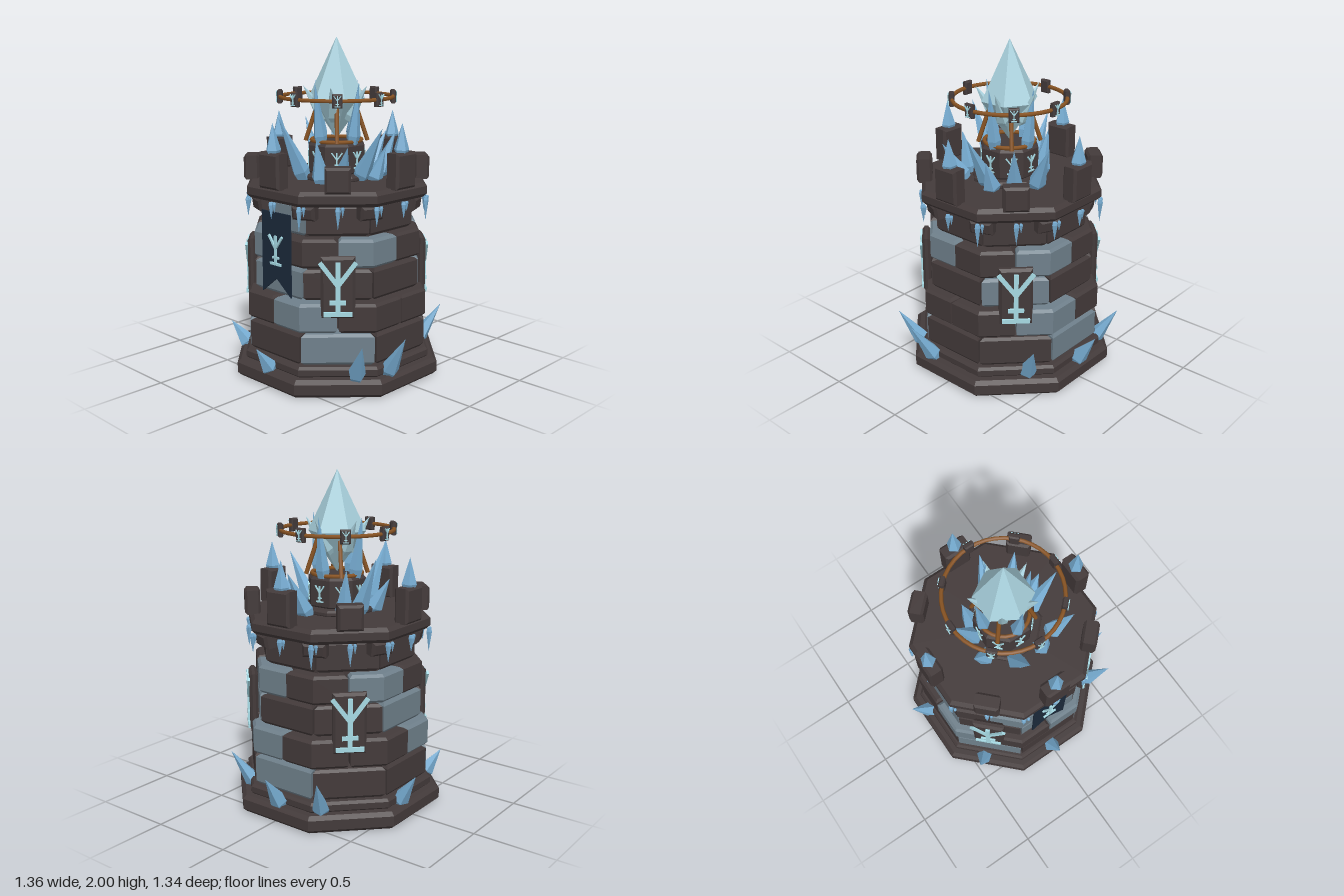
import * as THREE from 'three';

const PI = Math.PI, C8 = Math.cos(PI / 8);
const paint = (name, color) => {
  const m = new THREE.MeshStandardMaterial({ color });
  m.name = name;
  return m;
};

export function createModel() {
  const stone = paint('dark stone', 0x433a3a), slate = paint('grey stone', 0x6f808b);
  const ice = paint('ice', 0x78aed4), crystal = paint('pale crystal', 0xa8d0dc);
  const glow = paint('rune', 0xa6dae4), copper = paint('copper', 0x8a5524);
  const cloth = paint('banner cloth', 0x1b293a);
  cloth.side = THREE.DoubleSide;

  const tower = new THREE.Group();
  tower.name = 'tower';
  const add = (name, geo, mat, parent = tower) => {
    const m = new THREE.Mesh(geo, mat);
    m.name = name;
    parent.add(m);
    return m;
  };
  const flat = (g) => {
    const f = g.toNonIndexed();
    f.computeVertexNormals();
    return f;
  };
  // polygonal solid from [radius, y] points
  const turned = (pts, sides, start = 0) =>
    flat(new THREE.LatheGeometry(pts.map(p => new THREE.Vector2(...p)), sides, start));
  // bevelled octagonal slab, a = distance from axis to flat side
  const slab = (name, a, y0, y1, b) => add(name, turned(
    [[0, y0], [a - b, y0], [a, y0 + b], [a, y1 - b], [a - b, y1], [0, y1]]
      .map(([r, y]) => [r / C8, y]), 8, PI / 8), stone);
  // group turned to face angle a, at distance r
  const facing = (name, a, r, y) => {
    const g = new THREE.Group();
    g.name = name;
    g.position.set(Math.sin(a) * r, y, Math.cos(a) * r);
    g.rotation.y = a;
    tower.add(g);
    return g;
  };
  // box with bevelled edges, centred
  const block = (w, h, d, b = 0.016) => {
    const s = new THREE.Shape();
    const x = w / 2 - b, y = h / 2 - b;
    s.moveTo(-x, -y).lineTo(x, -y).lineTo(x, y).lineTo(-x, y);
    return new THREE.ExtrudeGeometry(s, { depth: d - 2 * b, bevelEnabled: true,
      bevelThickness: b, bevelSize: b, bevelSegments: 1 }).translate(0, 0, b - d / 2);
  };
  // pointed shard between two points
  const UP = new THREE.Vector3(0, 1, 0);
  const shard = (name, from, to, r, mat = ice, sides = 5) => {
    const a = new THREE.Vector3(...from), d = new THREE.Vector3(...to).sub(a);
    const h = d.length();
    const m = add(name, turned([[0, 0], [r * 0.75, 0.01 * h], [r, 0.16 * h], [0, h]], sides), mat);
    m.position.copy(a);
    m.quaternion.setFromUnitVectors(UP, d.normalize());
  };
  // forked rune, about 0.3 high, facing +z
  const rune = (parent, z, k = 1) => {
    const g = new THREE.Group();
    g.name = 'rune';
    g.position.z = z;
    g.scale.set(k, k, 1);
    parent.add(g);
    const bar = (x, y, w, h, tilt = 0) => {
      const m = add('runeStroke', new THREE.BoxGeometry(w, h, 0.014), glow, g);
      m.position.set(x, y, 0);
      m.rotation.z = tilt;
    };
    bar(0, 0, 0.025, 0.28);
    bar(0, -0.138, 0.15, 0.024);
    bar(0, -0.075, 0.085, 0.022);
    for (const s of [-1, 1]) bar(s * 0.045, 0.075, 0.023, 0.16, -s * 0.64);
  };

  // base and core
  slab('basePlinth', 0.598, 0, 0.105, 0.022);
  slab('baseStep', 0.545, 0.1, 0.165, 0.015);
  slab('wallCore', 0.405, 0.15, 1.09, 0.01);

  // brick courses: alternate courses wrap the corners; G = grey, D = dark
  const courses = [
    [0.52, 0.17, 0.352, 'DGDDGDDG'], [0.525, 0.36, 0.532, 'GDDGDDGD'],
    [0.482, 0.542, 0.72, 'GDDGDDGD'], [0.484, 0.728, 0.895, 'DGDGDGDG'],
    [0.44, 0.905, 1.08, 'GDDDDDDD']];
  courses.forEach(([ap, y0, y1, colours], row) => {
    const wrap = row % 2, b = 0.016;
    const at = (r, a) => {
      const local = a - Math.round(a / (PI / 4)) * PI / 4;
      const R = r / Math.cos(local);
      return new THREE.Vector2(Math.sin(a) * R, -Math.cos(a) * R);
    };
    for (let i = 0; i < 8; i++) {
      const mid = (i + wrap / 2) * PI / 4, half = PI / 8 - 0.01;
      const angles = wrap ? [mid - half, mid, mid + half] : [mid - half, mid + half];
      const plan = new THREE.Shape([...angles.map(a => at(ap, a)),
        ...angles.reverse().map(a => at(ap - 0.12, a))]);
      const g = new THREE.ExtrudeGeometry(plan, { depth: y1 - y0 - 2 * b, bevelEnabled: true,
        bevelThickness: b, bevelSize: b, bevelOffset: -b, bevelSegments: 1 });
      g.rotateX(-PI / 2).translate(0, y0 + b, 0);
      add('wallBrick', g, colours[i] === 'G' ? slate : stone);
    }
  });

  // corbels, parapet floor and icicles
  for (let i = 0; i < 8; i++) {
    const c = facing('corbel', (i + 0.5) * PI / 4, 0.455, 1.05);
    add('corbelBlock', block(0.14, 0.085, 0.12), stone, c).rotation.x = 0.15;
  }
  slab('parapetFloor', 0.523, 1.085, 1.172, 0.022);
  for (let i = 0; i < 16; i++) {
    const a = i * PI / 8, r = i % 2 ? 0.56 : 0.53;
    const len = 0.1 + 0.03 * ((i * 7) % 4) / 2;
    const hang = (angle, drop, w) => {
      const x = Math.sin(angle) * r, z = Math.cos(angle) * r;
      shard('icicle', [x, 1.09, z], [x, 1.09 - drop, z], w);
    };
    hang(a, len, 0.017);
    hang(a + 0.05, 0.06, 0.011);
  }

  // merlons, the four tall ones tipped with ice
  for (let i = 0; i < 8; i++) {
    const tall = i % 2 === 0, h = tall ? 0.205 : 0.145;
    const m = facing('merlon', i * PI / 4, 0.506, 1.165 + h / 2);
    add('merlonBlock', block(tall ? 0.165 : 0.145, h, 0.092, 0.014), stone, m);
    if (tall) {
      const x = m.position.x, z = m.position.z;
      shard('merlonIce', [x, 1.355, z], [x * 1.01, 1.535, z * 1.01], 0.045);
    }
  }

  // rune plaques on the diagonals
  for (let i = 0; i < 4; i++) {
    const p = facing('runePlaque', PI / 4 + i * PI / 2, 0.512, 0.63);
    add('plaqueStone', block(0.195, 0.36, 0.05), stone, p);
    rune(p, 0.031, 1.08);
  }

  // swallow-tailed banner
  const banner = facing('banner', 0, 0.488, 0);
  const tail = new THREE.Shape();
  tail.moveTo(-0.12, 1.025).lineTo(-0.12, 0.54).lineTo(0, 0.635).lineTo(0.12, 0.54).lineTo(0.12, 1.025);
  add('bannerCloth', new THREE.ExtrudeGeometry(tail, { depth: 0.008, bevelEnabled: false }), cloth, banner);
  const emblem = new THREE.Group();
  emblem.name = 'bannerEmblem';
  emblem.position.y = 0.805;
  banner.add(emblem);
  rune(emblem, 0.012, 0.6);

  // ice growing from the base: tip x, y, z
  [[0, 0.25, 0.66], [-0.49, 0.25, 0.44], [0.585, 0.34, 0.4], [0.7, 0.36, 0.17],
    [0.4, 0.33, -0.53], [0, 0.3, -0.675], [-0.32, 0.33, -0.61], [-0.66, 0.3, -0.125]]
    .forEach(([x, y, z]) => {
      const r = Math.hypot(x, z), k = (r - 0.55 * (y - 0.05)) / r;
      shard('baseIce', [x * k, 0.095, z * k], [x, y, z], 0.052);
    });

  // ice leaning out over the parapet floor: foot x, z then tip x, y, z
  [[-0.17, -0.03, -0.31, 1.51, -0.04], [0.18, 0, 0.365, 1.49, 0], [-0.07, 0.2, -0.09, 1.55, 0.385],
    [0.2, 0.18, 0.32, 1.4, 0.24], [0.04, -0.23, 0.08, 1.43, -0.36], [0.17, -0.18, 0.25, 1.45, -0.25],
    [-0.18, 0.1, -0.29, 1.37, 0.13], [0.23, -0.07, 0.31, 1.36, -0.09],
    [0.1, 0.23, 0.11, 1.42, 0.28], [-0.14, -0.12, -0.18, 1.45, -0.15]]
    .forEach(([fx, fz, x, y, z]) => shard('floorIce', [fx, 1.165, fz], [x, y, z], 0.054));

  // pedestal with runes
  slab('pedestalStep', 0.215, 1.165, 1.205, 0.012);
  slab('pedestal', 0.165, 1.2, 1.385, 0.015);
  for (let i = 0; i < 8; i++) rune(facing('pedestalRune', i * PI / 4, 0.165, 1.29), 0, 0.34);

  // copper cradle
  add('cradleRing', new THREE.TorusGeometry(0.15, 0.012, 6, 24).rotateX(PI / 2), copper).position.y = 1.395;
  for (let i = 0; i < 4; i++) {
    const a = PI / 4 + i * PI / 2, s = Math.sin(a), c = Math.cos(a);
    const path = new THREE.LineCurve3(new THREE.Vector3(s * 0.185, 1.39, c * 0.185),
      new THREE.Vector3(s * 0.105, 1.63, c * 0.105));
    add('cradleStrut', new THREE.TubeGeometry(path, 1, 0.013, 6), copper);
  }

  // great crystal with ice and pale shards round it
  add('greatCrystal', turned([[0, 1.4], [0.172, 1.645], [0, 2]], 6), crystal);
  for (let i = 0; i < 4; i++) {
    const a = i * PI / 2, s = Math.sin(a), c = Math.cos(a);
    shard('crownIce', [s * 0.13, 1.37, c * 0.13], [s * 0.18, 1.74, c * 0.18], 0.042);
  }
  for (let i = 0; i < 5; i++) {
    const a = i * PI * 0.4 + 0.6, s = Math.sin(a), c = Math.cos(a);
    shard('paleShard', [s * 0.07, 1.52, c * 0.07], [s * 0.2, 1.72, c * 0.2], 0.045, crystal);
  }

  // floating copper ring with rune clasps
  add('haloRing', new THREE.TorusGeometry(0.335, 0.012, 6, 40).rotateX(PI / 2), copper).position.y = 1.652;
  for (let i = 0; i < 8; i++) {
    const c = facing('haloClasp', i * PI / 4, 0.335, 1.652);
    add('claspBlock', block(0.06, 0.08, 0.034, 0.008), stone, c);
    rune(c, 0.016, 0.22);
  }

  tower.position.set(-0.015, 0, 0.012);
  const model = new THREE.Group();
  model.name = 'iceTower';
  model.add(tower);
  return model;
}
